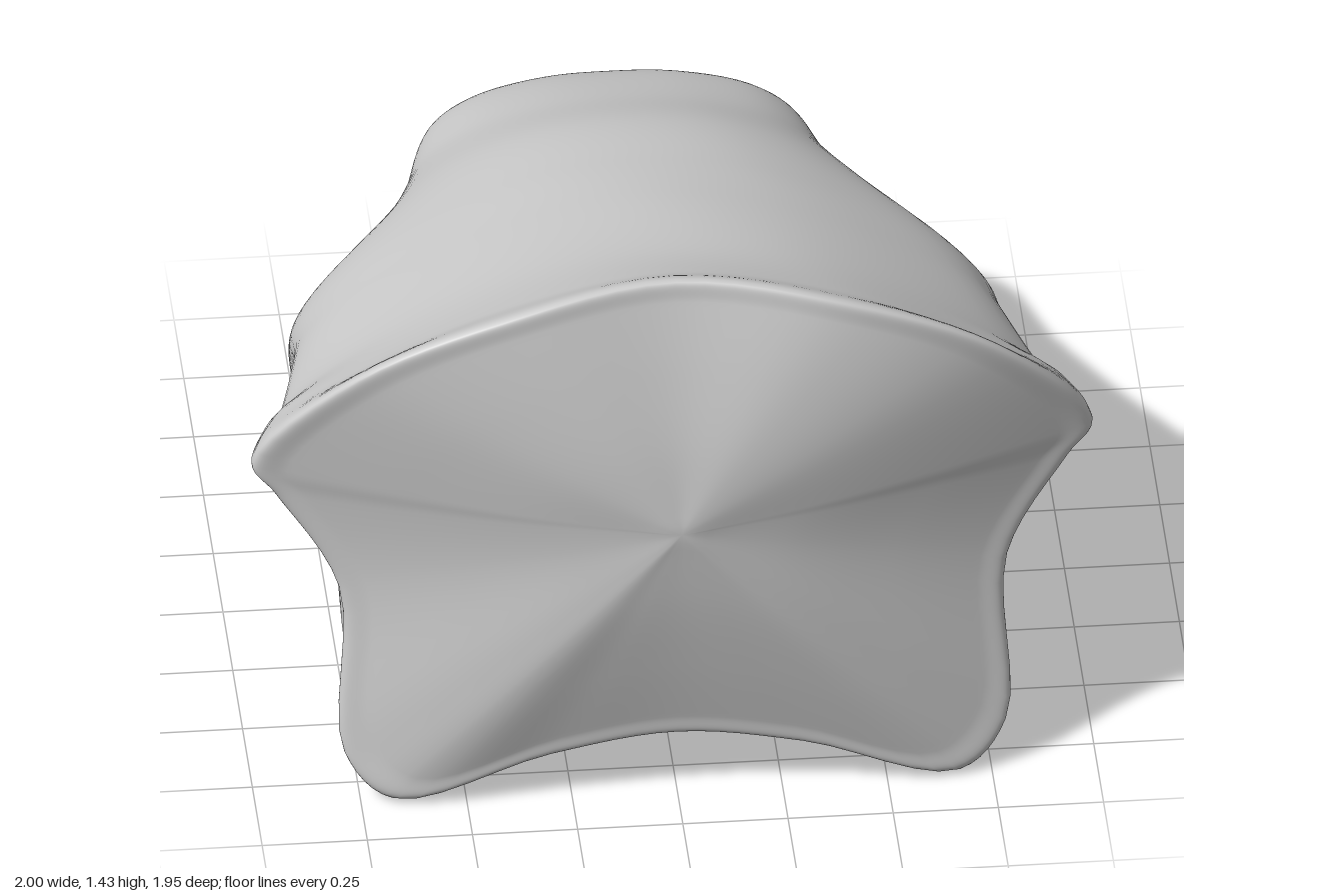
import * as THREE from 'three';

// Half outlines from top centre, down the +x side, to bottom centre.
// Each section: z followed by ten [x, y] (or [x, y, z]) points.
const rearSections = [
  [-0.945, [0, 0.84], [0.11, 0.835], [0.2, 0.81], [0.26, 0.77], [0.27, 0.72], [0.25, 0.67], [0.21, 0.63], [0.15, 0.6], [0.07, 0.59], [0, 0.59]],
  [-0.87, [0, 0.89], [0.18, 0.88], [0.33, 0.84], [0.41, 0.78], [0.43, 0.71], [0.41, 0.63], [0.34, 0.56], [0.24, 0.51], [0.1, 0.5], [0, 0.5]],
  [-0.6, [0, 1.0], [0.2, 0.98], [0.37, 0.92], [0.48, 0.83], [0.52, 0.73], [0.51, 0.61], [0.43, 0.48], [0.3, 0.4], [0.12, 0.39], [0, 0.39]],
  [-0.35, [0, 1.105], [0.22, 1.08], [0.42, 1.0], [0.56, 0.89], [0.615, 0.75], [0.6, 0.6], [0.54, 0.43], [0.4, 0.32], [0.18, 0.31], [0, 0.32]],
  [-0.08, [0, 1.17], [0.25, 1.14], [0.5, 1.04], [0.72, 0.9], [0.82, 0.76], [0.825, 0.6], [0.745, 0.38], [0.52, 0.22], [0.22, 0.25], [0, 0.29]],
];
const frontSections = [
  [0.15, [0, 1.22], [0.28, 1.18], [0.55, 1.07], [0.78, 0.92], [0.845, 0.81], [0.785, 0.64], [0.745, 0.33], [0.6, 0.12], [0.25, 0.21], [0, 0.26]],
  [0.5, [0, 1.29], [0.32, 1.25], [0.62, 1.12], [0.86, 0.95], [0.915, 0.86], [0.78, 0.68], [0.755, 0.22], [0.66, 0.03], [0.3, 0.17], [0, 0.22]],
  // Just behind the flared rim
  [0.74, [0, 1.365, 0.7], [0.39, 1.31, 0.73], [0.72, 1.15, 0.71], [0.955, 0.95, 0.64], [0.95, 0.85, 0.63], [0.78, 0.63, 0.66], [0.76, 0.17, 0.72], [0.69, 0], [0.32, 0.12], [0, 0.18]],
  // Rim with side wings and two feet
  [0.86, [0, 1.42, 0.82], [0.42, 1.36, 0.87], [0.76, 1.2, 0.84], [0.998, 0.9, 0.73], [0.94, 0.81, 0.73], [0.79, 0.55, 0.76], [0.785, 0.12, 0.81], [0.67, 0.01, 0.85], [0.3, 0.12], [0, 0.165]],
];

// Mirrors a half outline into a closed ring of 18 points.
function mirroredRing([z, ...half]) {
  const right = half.map(([x, y, pz = z]) => new THREE.Vector3(x, y, pz));
  const left = right.slice(1, -1).reverse().map((p) => new THREE.Vector3(-p.x, p.y, p.z));
  return [...right, ...left];
}

// Shrinks an end ring towards a point; z levels out near that point.
function shrunkRing(ring, centre, t, power) {
  return ring.map((p) => {
    const q = p.clone().lerp(centre, t);
    q.z = centre.z + (p.z - centre.z) * (1 - t) ** power;
    return q;
  });
}

function loft(rings, around, along) {
  const smooth = rings.map((ring) => {
    const curve = new THREE.CatmullRomCurve3(ring, true);
    return Array.from({ length: around }, (_, j) => curve.getPoint(j / around));
  });
  const columns = Array.from({ length: around }, (_, j) =>
    new THREE.CatmullRomCurve3(smooth.map((ring) => ring[j])));
  const positions = [];
  const index = [];
  for (let i = 0; i <= along; i++) {
    for (const column of columns) positions.push(...column.getPoint(i / along).toArray());
  }
  for (let i = 0; i < along; i++) {
    for (let j = 0; j < around; j++) {
      const k = (j + 1) % around;
      const a = i * around + j, b = i * around + k;
      const c = a + around, d = b + around;
      index.push(a, c, b, b, c, d);
    }
  }
  // Close both ends with a centre point
  const back = positions.length / 3;
  positions.push(...tail.toArray(), ...peak.toArray());
  const last = along * around;
  for (let j = 0; j < around; j++) {
    const k = (j + 1) % around;
    index.push(back, j, k, back + 1, last + k, last + j);
  }
  const geometry = new THREE.BufferGeometry();
  geometry.setAttribute('position', new THREE.Float32BufferAttribute(positions, 3));
  geometry.setIndex(index);
  geometry.computeVertexNormals();
  return geometry;
}

// End centres: blunt tail and shallow front peak
const tail = new THREE.Vector3(0, 0.72, -0.975);
const peak = new THREE.Vector3(0, 0.8, 0.975);

export function createModel() {
  const group = new THREE.Group();
  group.name = 'wedgeBone';
  const sections = [...rearSections, ...frontSections].map(mirroredRing);
  const rim = sections[sections.length - 1];
  const rings = [
    ...[0.95, 0.45].map((t) => shrunkRing(sections[0], tail, t, 2)),
    ...sections,
    ...[0.08, 0.35, 0.65, 0.96].map((t) => shrunkRing(rim, peak, t, 1.35)),
  ];

  const material = new THREE.MeshStandardMaterial({ color: 0xcccccc });
  const body = new THREE.Mesh(loft(rings, 108, 140), material);
  body.name = 'boneBody';
  group.add(body);
  return group;
}
